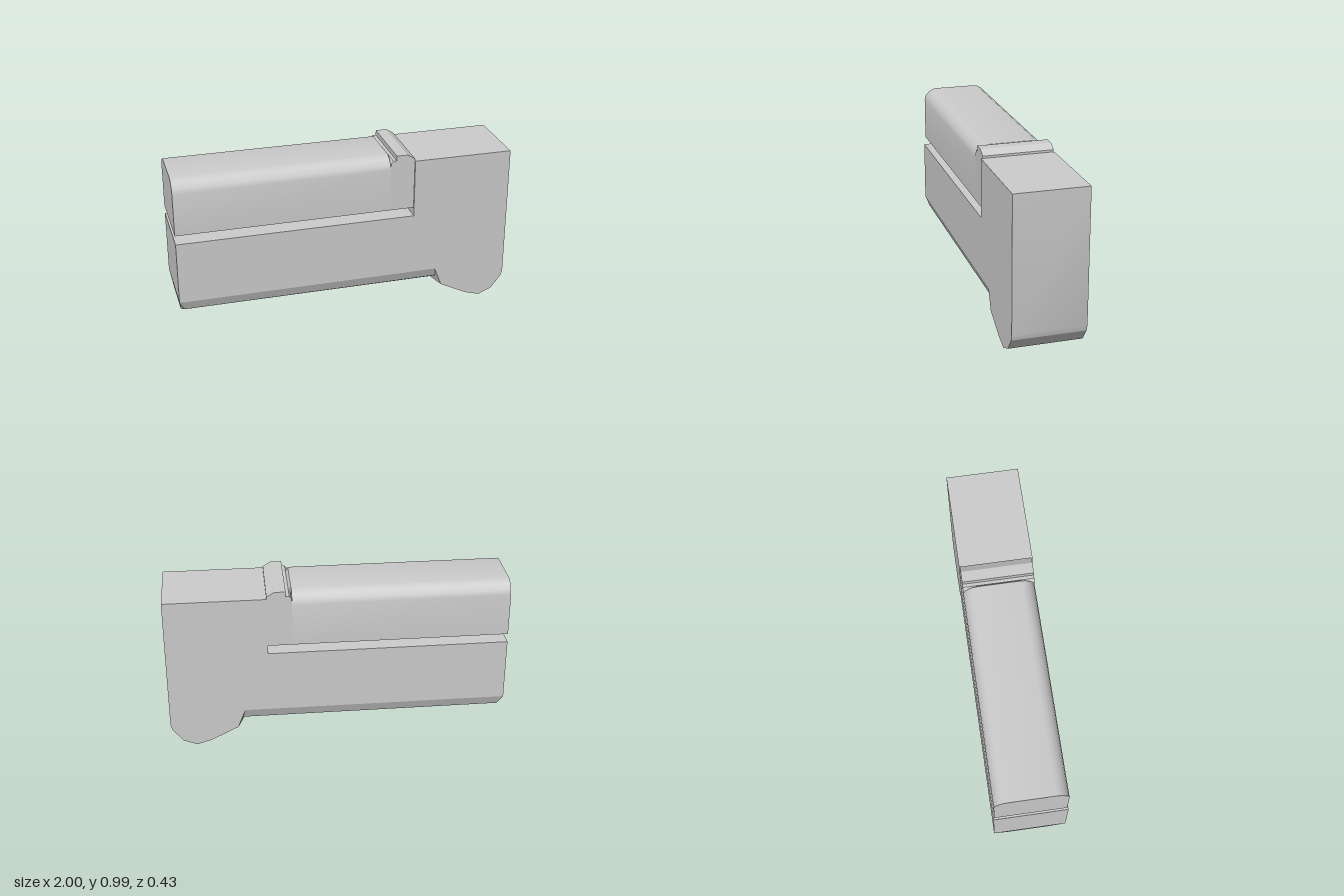
import * as THREE from 'three';
import { toCreasedNormals } from 'three/addons/utils/BufferGeometryUtils.js';
import { ConvexGeometry } from 'three/addons/geometries/ConvexGeometry.js';

const HALF = 0.214; // half width of the frame
const material = new THREE.MeshStandardMaterial({ color: 0xcccccc });

function part(name, geometry, crease = 0.6) {
  const mesh = new THREE.Mesh(toCreasedNormals(geometry, crease), material);
  mesh.name = name;
  return mesh;
}

// Extrude a profile, centred on z = 0
function slab(points, depth) {
  const shape = new THREE.Shape(points.map(([x, y]) => new THREE.Vector2(x, y)));
  return new THREE.ExtrudeGeometry(shape, { depth, bevelEnabled: false }).translate(0, 0, -depth / 2);
}

// Convex solid from [x, y, z] points, each mirrored across z = 0
function mirroredHull(points) {
  const all = [];
  for (const [x, y, z] of points) for (const s of [1, -1]) all.push(new THREE.Vector3(x, y, s * z));
  return new ConvexGeometry(all);
}

export function createModel() {
  const model = new THREE.Group();

  // Frame: long lower arm, tall end block and rounded foot
  model.add(part('frame', slab([
    [-1, 0.225], [0.555, 0.225], [0.6, 0.11], [0.76, 0.03], [0.85, 0.003], [0.93, 0.037],
    [0.99, 0.115], [1, 0.15], [1, 0.95], [0.41, 0.95], [0.41, 0.6], [-1, 0.6],
  ], HALF * 2), 0.3));

  // Rounded underside of the arm, nipped at its free end
  model.add(part('armUnderside', mirroredHull([
    [-1, 0.225, HALF], [-0.97, 0.165, 0.19], [-0.985, 0.135, 0.125],
    [0.6, 0.225, HALF], [0.575, 0.165, 0.19], [0.56, 0.125, 0.125],
  ])));

  // Flare where the underside widens into the foot
  model.add(part('footFlare', mirroredHull([
    [0.555, 0.225, HALF], [0.6, 0.11, HALF], [0.56, 0.125, 0.125], [0.62, 0.225, HALF],
  ]), 0.1));

  // Upper bar with rounded top edges
  const section = [[0.65, 0.207], [0.905, 0.207], [0.935, 0.2], [0.96, 0.178], [0.975, 0.155], [0.98, 0.132]];
  const upperBar = part('upperBar', mirroredHull(
    [-1, 0.265].flatMap((x) => section.map(([y, z]) => [x, y, z]))));
  upperBar.position.z = -0.003;
  model.add(upperBar);

  // Stepped end cap of the upper bar, with a raised ridge
  const cap = part('upperBarCap', slab([
    [0.265, 0.65], [0.41, 0.65], [0.41, 0.963], [0.365, 0.99], [0.3, 0.99], [0.3, 0.96],
    [0.28, 0.96], [0.268, 0.945], [0.265, 0.92],
  ], 0.414), 0.3);
  cap.position.z = -0.003;
  model.add(cap);

  // Thin lip between the bar top and the cap step
  const lip = part('capLip', slab([[0.26, 0.94], [0.29, 0.94], [0.28, 0.96], [0.265, 0.98]], 0.264));
  lip.position.z = -0.003;
  model.add(lip);

  return model;
}
